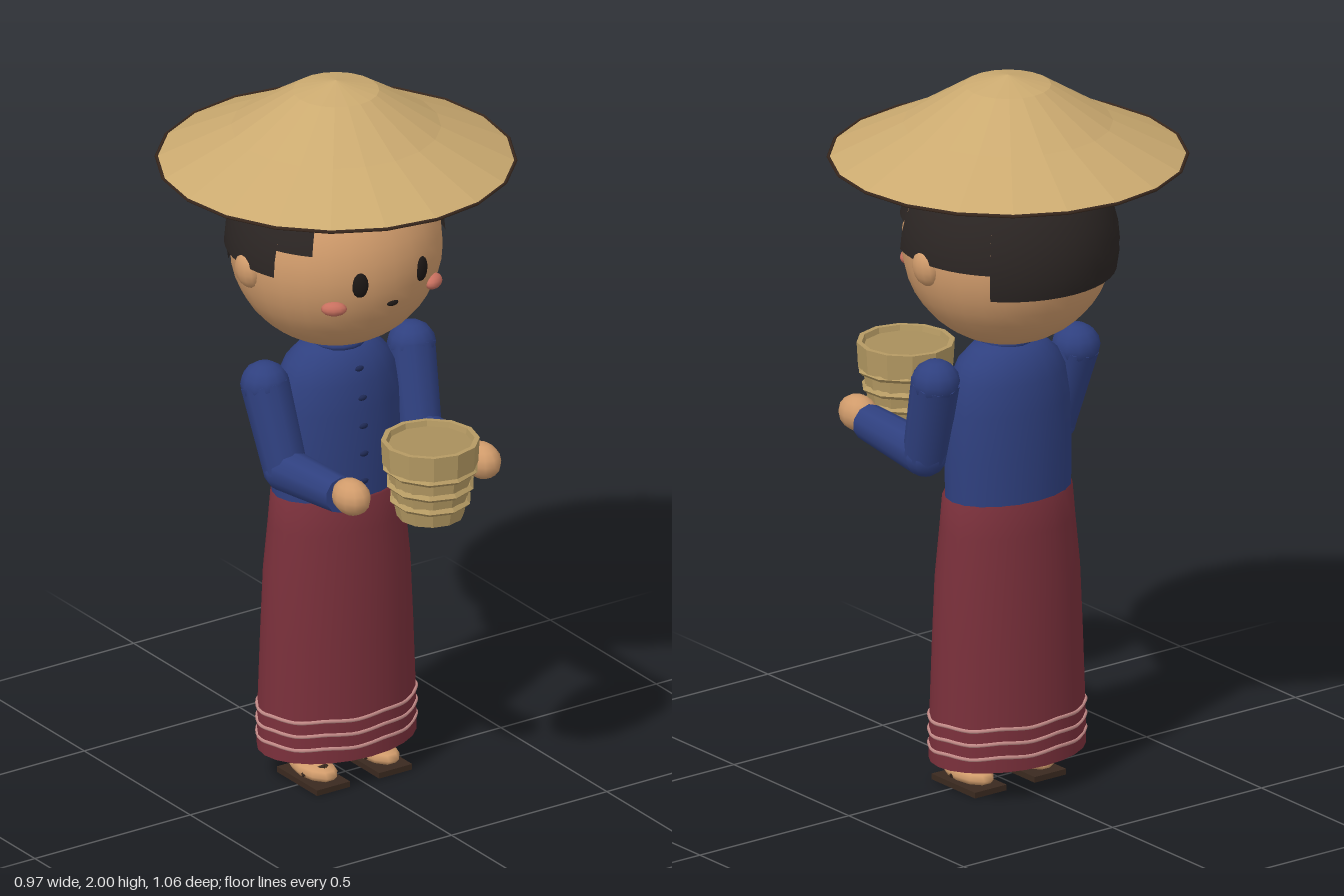
import * as THREE from 'three';

const CZ = -0.045; // body axis
const mat = (color, extra = {}) => new THREE.MeshStandardMaterial({ color, ...extra });
const two = { side: THREE.DoubleSide };
const M = {
  skin: mat(0xd09b6b), hair: mat(0x2b2523, two), shirt: mat(0x2f407f, two), skirt: mat(0x7a303b, two),
  stripe: mat(0xc68d8a, two), straw: mat(0xcbaa70, { ...two, flatShading: true }),
  weave: mat(0xb59a63, { ...two, flatShading: true }), dark: mat(0x3a291f), eye: mat(0x1c1715),
  blush: mat(0xc8705f), band: mat(0xb98d58, two), rice: mat(0xa88f5c), button: mat(0x1f2a55),
};

export function createModel() {
  const root = new THREE.Group();
  root.name = 'farmerFigure';

  const add = (name, geo, material, pos = [0, 0, 0], scale = [1, 1, 1], rot = [0, 0, 0]) => {
    const m = new THREE.Mesh(geo, material);
    m.name = name;
    m.position.set(...pos);
    m.scale.set(...scale);
    m.rotation.set(...rot);
    root.add(m);
    return m;
  };
  const lathe = (pts, n) => new THREE.LatheGeometry(pts.map(p => new THREE.Vector2(...p)), n);
  const ball = (name, material, pos, size, rot, w = 12, h = 8) =>
    add(name, new THREE.SphereGeometry(1, w, h), material, pos, size, rot);
  // Tapered limb between two points
  const limb = (name, material, a, b, ra, rb, sides = 10) => {
    const A = new THREE.Vector3(...a), B = new THREE.Vector3(...b), d = B.clone().sub(A);
    const m = add(name, new THREE.CylinderGeometry(rb, ra, d.length(), sides), material);
    m.position.copy(A).add(B).multiplyScalar(0.5);
    m.quaternion.setFromUnitVectors(new THREE.Vector3(0, 1, 0), d.normalize());
  };

  // Conical hat with rim and inner head band
  add('hat', lathe([[0.48, 1.77], [0.28, 1.868], [0.115, 1.972], [0, 2]], 20), M.straw, [0, 0, CZ]);
  add('hatRim', new THREE.TorusGeometry(0.478, 0.005, 4, 20), M.dark, [0, 1.772, CZ], [1, 1, 1], [Math.PI / 2, 0, 0]);
  add('hatBand', new THREE.CylinderGeometry(0.27, 0.265, 0.13, 20, 1, true), M.band, [0, 1.785, CZ]);
  for (let i = 0; i < 14; i++) {
    const a = (i + 0.5) / 14 * Math.PI * 2;
    add('bandSlat', new THREE.BoxGeometry(0.012, 0.11, 0.008), M.dark,
      [Math.sin(a) * 0.268, 1.78, CZ + Math.cos(a) * 0.268], [1, 1, 1], [0, a, 0]);
  }

  // Head and face
  ball('head', M.skin, [0, 1.53, CZ], [0.287, 0.277, 0.28], [0, 0, 0], 28, 20);
  for (const s of [1, -1]) {
    ball('ear', M.skin, [s * 0.28, 1.515, CZ - 0.005], [0.03, 0.05, 0.045], [0, 0, s * -0.15]);
    ball('eye', M.eye, [s * 0.098, 1.522, 0.212], [0.024, 0.036, 0.014], [0, s * 0.36, 0]);
    ball('cheek', M.blush, [s * 0.16, 1.457, 0.18], [0.035, 0.02, 0.022], [0, s * 0.6, 0]);
  }
  ball('mouth', M.eye, [0, 1.45, 0.222], [0.018, 0.008, 0.008]);

  // Hair: shell sections, [from angle, to angle, lower edge], angles from the front
  const hairPanel = (from, to, edge) => {
    const r = 0.298, rad = THREE.MathUtils.degToRad;
    const theta = Math.acos((edge - 1.53) / r);
    add('hairPanel', new THREE.SphereGeometry(r, 12, 10, rad(90 + from), rad(to - from), 0, theta), M.hair, [0, 1.53, CZ]);
  };
  for (const [from, to, edge] of [[36, 47, 1.68], [47, 68, 1.61], [68, 133, 1.535]]) {
    hairPanel(from, to, edge);
    hairPanel(-to, -from, edge);
  }
  hairPanel(133, 227, 1.46);
  hairPanel(-36, 36, 1.735);
  ball('fringe', M.hair, [0.1, 1.695, 0.165], [0.135, 0.042, 0.05], [0, 0.2, 0.2]);
  ball('fringeCurl', M.hair, [0.19, 1.725, 0.14], [0.06, 0.045, 0.055], [0, 0.5, 0.5]);
  ball('hairBun', M.hair, [0, 1.745, -0.265], [0.07, 0.075, 0.05]);

  // Shirt with collar and buttons
  add('neck', new THREE.CylinderGeometry(0.06, 0.065, 0.1, 12), M.skin, [0, 1.25, CZ]);
  add('shirt', lathe([[0.188, 0.82], [0.19, 0.95], [0.185, 1.08], [0.172, 1.16], [0.148, 1.21], [0.11, 1.245], [0.065, 1.258]], 20),
    M.shirt, [0, 0, CZ], [1, 1, 0.7]);
  add('collar', new THREE.TorusGeometry(0.066, 0.012, 6, 16), M.shirt, [0, 1.257, CZ + 0.01], [1, 1, 1], [Math.PI / 2, 0, 0]);
  for (const [y, z] of [[1.2, 0.066], [1.12, 0.081], [1.04, 0.086], [0.96, 0.088], [0.88, 0.088]])
    ball('button', M.button, [0, y, z], [0.014, 0.008, 0.006], [0, 0, 0], 8, 6);

  // Long skirt, open at the hem, with wavy stripes
  add('skirt', lathe([[0.232, 0.09], [0.23, 0.2], [0.222, 0.42], [0.214, 0.6], [0.2, 0.74], [0.192, 0.83], [0.17, 0.835]], 24),
    M.skirt, [0, 0, -0.042], [1, 1, 0.715]);
  for (const y of [0.13, 0.17, 0.21]) {
    const pts = [];
    for (let i = 0; i < 32; i++) {
      const a = i / 32 * Math.PI * 2;
      pts.push(new THREE.Vector3(Math.sin(a) * 0.23, y + 0.003 * Math.sin(a * 8), Math.cos(a) * 0.164));
    }
    add('hemStripe', new THREE.TubeGeometry(new THREE.CatmullRomCurve3(pts, true), 64, 0.0055, 5, true), M.stripe, [0, 0, -0.042]);
  }

  for (const s of [1, -1]) {
    // Arm bent forward at the elbow
    const shoulder = [s * 0.236, 1.18, -0.035], elbow = [s * 0.217, 0.95, 0.035], wrist = [s * 0.212, 0.968, 0.29];
    ball('shoulder', M.shirt, shoulder, [0.066, 0.062, 0.066]);
    limb('upperArm', M.shirt, shoulder, elbow, 0.066, 0.06);
    ball('elbow', M.shirt, elbow, [0.061, 0.06, 0.061]);
    limb('forearm', M.shirt, elbow, wrist, 0.06, 0.05);
    ball('hand', M.skin, [s * 0.21, 0.98, 0.335], [0.048, 0.05, 0.062]);

    // Leg, foot and sandal
    limb('leg', M.skin, [s * 0.1, 0.073, CZ - 0.01], [s * 0.1, 0.4, CZ - 0.01], 0.05, 0.06);
    ball('foot', M.skin, [s * 0.1, 0.036, -0.005], [0.05, 0.026, 0.092], [0, 0, 0], 10, 6);
    add('sandalSole', new THREE.BoxGeometry(0.106, 0.016, 0.19), M.dark, [s * 0.1, 0.008, -0.005]);
    for (const t of [1, -1])
      limb('sandalStrap', M.dark, [s * 0.1 + t * 0.046, 0.03, 0.01], [s * 0.1, 0.058, 0.048], 0.007, 0.007, 6);
  }

  // Woven basket with rim, bands and filling
  const bz = 0.4;
  add('basket', lathe([[0, 0.9], [0.09, 0.9], [0.108, 0.99], [0.115, 1.05], [0.128, 1.05], [0.132, 1.12], [0.118, 1.12], [0.112, 1.09]], 12),
    M.weave, [0, 0, bz]);
  add('basketFilling', new THREE.CylinderGeometry(0.114, 0.114, 0.02, 12), M.rice, [0, 1.095, bz]);
  for (const [y, r] of [[0.95, 0.102], [0.995, 0.111], [1.045, 0.122]])
    add('basketBand', new THREE.TorusGeometry(r, 0.01, 4, 10), M.weave, [0, y, bz], [1, 1, 1], [Math.PI / 2 + 0.04, 0, 0.3]);

  return root;
}
